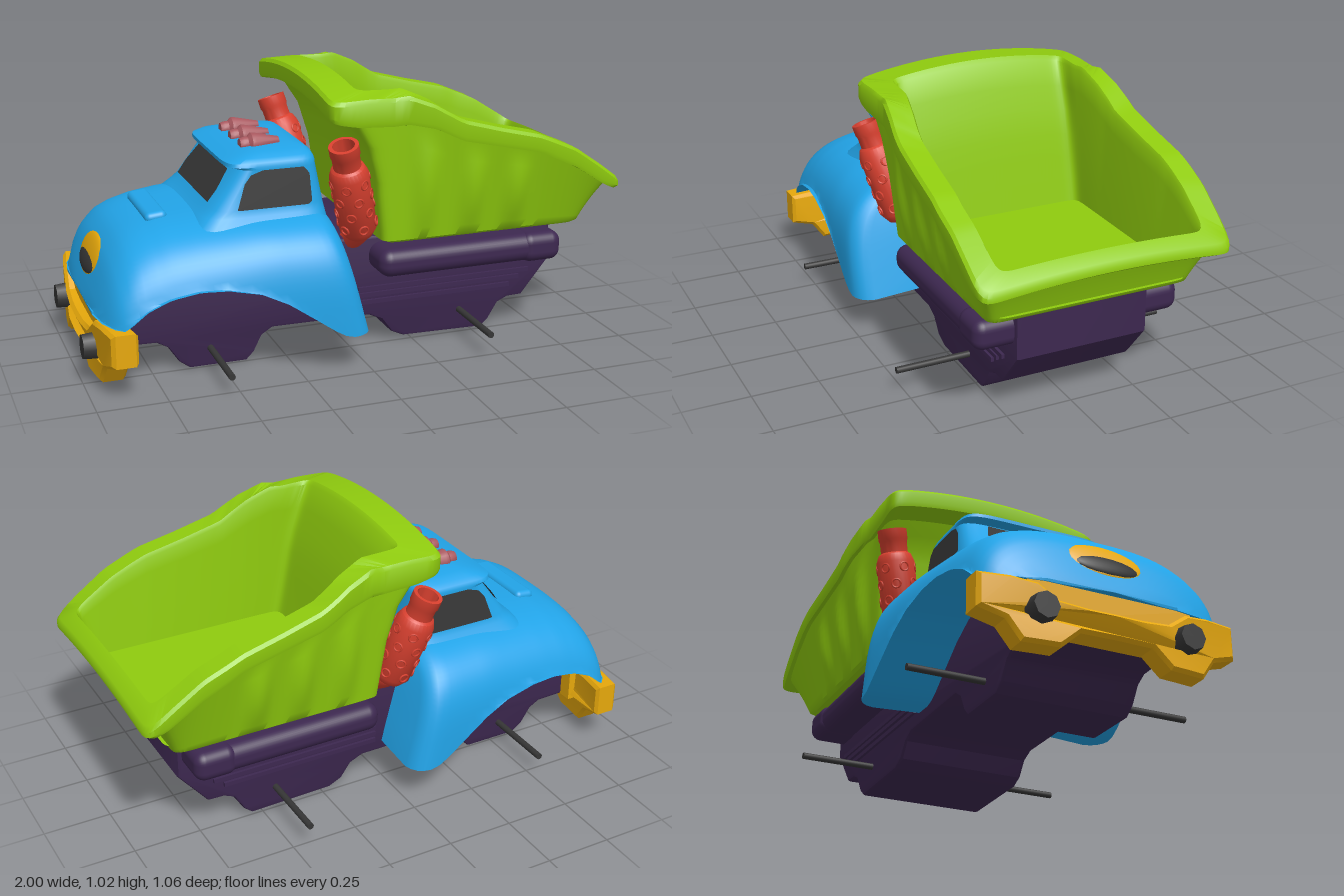
import * as THREE from 'three';
import { toCreasedNormals } from 'three/addons/utils/BufferGeometryUtils.js';
import { RoundedBoxGeometry } from 'three/addons/geometries/RoundedBoxGeometry.js';

const mat = (color, side = THREE.FrontSide) => new THREE.MeshStandardMaterial({ color, side });
const V = (x, y, z) => new THREE.Vector3(x, y, z);

// Piecewise linear lookup in a table of [key, value] pairs
function lin(table, x) {
  if (x <= table[0][0]) return table[0][1];
  for (let i = 1; i < table.length; i++) {
    const [a, p] = table[i - 1], [b, q] = table[i];
    if (x <= b) return p + (q - p) * (x - a) / (b - a);
  }
  return table[table.length - 1][1];
}

// Skin over rings of equal point count
function loft(rings) {
  const n = rings[0].length, index = [];
  for (let i = 0; i < rings.length - 1; i++) for (let j = 0; j < n; j++) {
    const a = i * n + j, c = i * n + (j + 1) % n, b = a + n, d = c + n;
    index.push(a, b, c, b, d, c);
  }
  const g = new THREE.BufferGeometry().setFromPoints(rings.flat());
  g.setIndex(index);
  return toCreasedNormals(g, 0.65);
}
const collapse = (ring, x, y, z) => ring.map(() => V(x, y, z));

// Horizontal rounded rectangle; w(x) and y(x, z) may vary along it
function loop(x0, x1, w, y, p, n) {
  const pts = [], k = (x1 - x0) / 2, c = (x0 + x1) / 2;
  for (let s = 0; s < 4; s++) for (let i = 0; i < n; i++) {
    const t = -1 + 2 * i / n;
    const [u, v] = [[1, t], [-t, 1], [-1, -t], [t, -1]][s];
    const r = Math.pow(Math.abs(u) ** p + Math.abs(v) ** p, -1 / p);
    const x = c + k * u * r, z = w(x) * v * r;
    pts.push(V(x, y(x, z), z));
  }
  return pts;
}

const polygon = pts => new THREE.Shape(pts.map(([x, y]) => new THREE.Vector2(x, y)));

// Flat panel whose outline is mapped onto a surface
function panel(pts, map) {
  const g = new THREE.ShapeGeometry(polygon(pts)), pos = g.attributes.position;
  for (let i = 0; i < pos.count; i++) pos.setXYZ(i, ...map(pos.getX(i), pos.getY(i)));
  g.computeVertexNormals();
  return g;
}

// Tipper bed: outer wall with ribs, rolled rim, inner wall and floor
function bedGeometry() {
  const top = [[-0.14, 1.02], [0, 1.025], [0.15, 1.02], [0.24, 0.97], [0.35, 0.885], [0.5, 0.845], [0.65, 0.81], [0.78, 0.755], [0.9, 0.69], [1, 0.63]];
  const low = [[-0.14, 0.95], [-0.03, 0.93], [0.15, 0.92], [0.25, 0.88], [0.35, 0.81], [0.65, 0.745], [0.8, 0.675], [0.92, 0.615], [1, 0.588]];
  const rim = x => lin([[-0.14, 0.435], [0.1, 0.43], [0.3, 0.46], [0.7, 0.477], [1, 0.465]], x);
  const crown = (x, z) => 0.26 * z * z * lin([[0.1, 1], [0.35, 0], [0.8, 0], [1, 0.5]], x);
  const topY = (x, z) => lin(top, x) - crown(x, z), lowY = (x, z) => lin(low, x) - crown(x, z);
  const ribs = x => Math.max(...[0.23, 0.41, 0.58].map(c => Math.cos(Math.min(1, Math.abs(x - c) / 0.07) * Math.PI / 2) ** 2));
  const ring = (x0, x1, w, y) => loop(x0, x1, w, y, 26, 48);
  const rings = [ring(0.1, 0.86, () => 0.365, () => 0.43)];
  rings.unshift(collapse(rings[0], 0.45, 0.43, 0));
  for (let i = 0; i <= 10; i++) {
    const f = i / 10;
    rings.push(ring(lin([[0, 0.08], [0.5, 0.05], [0.8, 0.01], [1, -0.05]], f), 0.875 + 0.07 * f,
      x => 0.378 + (rim(x) - 0.398) * f + 0.022 * ribs(x) * Math.sin(Math.PI * Math.min(1, f * 1.1)),
      (x, z) => 0.44 + (lowY(x, z) - 0.44) * f));
  }
  rings.push(
    ring(-0.135, 0.985, x => rim(x) - 0.004, lowY),
    ring(-0.14, 1, rim, (x, z) => lowY(x, z) + 0.015),
    ring(-0.14, 1, rim, (x, z) => topY(x, z) - 0.012),
    ring(-0.13, 0.99, x => rim(x) - 0.01, topY),
    ring(-0.015, 0.945, x => rim(x) - 0.086, topY));
  for (let i = 0; i <= 6; i++) {
    const f = i / 6;
    rings.push(ring(lin([[0, 0], [0.4, 0.07], [1, 0.125]], f), 0.94 - 0.045 * f,
      x => rim(x) - 0.093 + (0.448 - rim(x)) * f,
      (x, z) => topY(x, z) - 0.015 + (0.475 - topY(x, z)) * f));
  }
  rings.push(collapse(rings[0], 0.5, 0.46, 0));
  return loft(rings);
}

// Hood and fenders: cross-sections along x, cut away over the wheels
function fenderGeometry() {
  const width = [[-0.955, 0.24], [-0.94, 0.34], [-0.91, 0.41], [-0.88, 0.44], [-0.84, 0.453], [-0.22, 0.497], [-0.17, 0.498], [-0.145, 0.492], [-0.125, 0.478], [-0.112, 0.458], [-0.105, 0.43]];
  const height = [[-0.955, 0.275], [-0.94, 0.32], [-0.92, 0.375], [-0.9, 0.425], [-0.87, 0.47], [-0.83, 0.508], [-0.78, 0.532], [-0.7, 0.552], [-0.6, 0.562], [-0.4, 0.572], [-0.15, 0.572], [-0.105, 0.55]];
  const arch = [[-0.87, 0.25], [-0.85, 0.275], [-0.8, 0.315], [-0.72, 0.35], [-0.62, 0.367], [-0.52, 0.363], [-0.42, 0.338], [-0.34, 0.29], [-0.27, 0.225], [-0.21, 0.165], [-0.18, 0.142]];
  const stations = [-0.955, -0.94, -0.925, -0.91, -0.895];
  for (let i = 0; i <= 28; i++) stations.push(-0.88 + i * 0.0255);
  stations.push(-0.145, -0.125, -0.112, -0.105);
  const rings = stations.map(x => {
    const w = lin(width, x), h = lin(height, x), b = lin(arch, x), e = lin([[-0.9, 0.66], [-0.35, 0.5]], x);
    const shear = lin([[-0.5, 0], [-0.105, 0.26]], x), pts = [V(x, b + 0.01, 0.24)];
    for (let j = 0; j <= 48; j++) {
      const t = Math.PI * j / 48, c = Math.cos(t);
      const y = Math.max(b, 0.14 + (h - 0.14) * Math.max(0, Math.sin(t)) ** e);
      pts.push(V(x, y, w * Math.sign(c) * Math.abs(c) ** e));
    }
    pts.push(V(x, b + 0.01, -0.24));
    return pts.map(p => p.setX(x + (h - p.y) * shear));
  });
  rings.unshift(collapse(rings[0], -0.958, 0.262, 0));
  rings.push(collapse(rings[0], -0.05, 0.35, 0));
  return loft(rings);
}

// Yellow bumper: outline in z and y, bowed forward in the middle
function bumperGeometry() {
  const half = [[0, 0.09], [0.13, 0.09], [0.2, 0.03], [0.26, 0.03], [0.33, 0.03], [0.38, 0.1], [0.47, 0.13],
    [0.47, 0.25], [0.36, 0.25], [0.27, 0.24], [0.2, 0.19], [0.1, 0.18], [0, 0.18]];
  const pts = [...half, ...half.slice(1, -1).reverse().map(([z, y]) => [-z, y])];
  const g = new THREE.ExtrudeGeometry(polygon(pts), { depth: 0.07, bevelSize: 0.012, bevelOffset: -0.012, bevelThickness: 0.012, bevelSegments: 1 });
  const pos = g.attributes.position;
  for (let i = 0; i < pos.count; i++) {
    const z = pos.getX(i), d = pos.getZ(i);
    pos.setXYZ(i, -0.895 - d + 0.2 * z * z, pos.getY(i), z);
  }
  return toCreasedNormals(g, 0.5);
}

export function createModel() {
  const model = new THREE.Group();
  const blue = mat(0x22a4e8, THREE.DoubleSide), green = mat(0x8fcb0e), purple = mat(0x3d2850);
  const red = mat(0xd8402f, THREE.DoubleSide), yellow = mat(0xe6a80c), dark = mat(0x363636, THREE.DoubleSide), pink = mat(0xa8585f);
  const add = (name, geo, material, x = 0, y = 0, z = 0) => {
    const m = new THREE.Mesh(geo, material);
    m.name = name;
    m.position.set(x, y, z);
    model.add(m);
    return m;
  };

  add('tipperBed', bedGeometry(), green);
  add('hoodAndFenders', fenderGeometry(), blue);
  add('bumper', bumperGeometry(), yellow);
  add('bumperMount', new THREE.BoxGeometry(0.1, 0.15, 0.6), yellow, -0.885, 0.19);

  // Cabin with a small visor above the windshield
  const cab = [[0.46, -0.66, -0.085, 0.37], [0.53, -0.6, -0.09, 0.335], [0.565, -0.56, -0.095, 0.31], [0.59, -0.53, -0.1, 0.302],
    [0.725, -0.43, -0.125, 0.283], [0.735, -0.465, -0.125, 0.284], [0.748, -0.465, -0.128, 0.278], [0.762, -0.43, -0.135, 0.262], [0.775, -0.38, -0.15, 0.22], [0.783, -0.32, -0.19, 0.13]];
  const cabRings = cab.map(([y, x0, x1, w]) => loop(x0, x1, () => w, () => y, 7, 16));
  cabRings.push(collapse(cabRings[0], -0.25, 0.785, 0));
  add('cabin', loft(cabRings), blue);
  const cabX = y => lin(cab.map(r => [r[0], r[1]]), y), cabW = y => lin(cab.map(r => [r[0], r[3]]), y);
  add('windshield', panel([[-0.21, 0.605], [0.21, 0.605], [0.215, 0.65], [0.19, 0.715], [-0.19, 0.715], [-0.215, 0.65]],
    (z, y) => [cabX(y) - 0.005, y, z]), dark);
  const sideWindow = [[-0.44, 0.592], [-0.42, 0.59], [-0.18, 0.59], [-0.165, 0.6], [-0.17, 0.7], [-0.19, 0.724], [-0.34, 0.724], [-0.385, 0.71], [-0.41, 0.68]];

  // Hood scoop and grille
  const scoop = add('hoodScoop', new RoundedBoxGeometry(0.08, 0.04, 0.32, 4, 0.02), blue, -0.695, 0.549);
  scoop.rotation.z = 0.1;
  const oval = (name, h, w, material, x, y) => {
    const m = add(name, new THREE.SphereGeometry(1, 24, 12), material, x, y);
    m.scale.set(0.018, h, w);
    m.rotation.z = -0.4;
  };
  oval('grilleSurround', 0.075, 0.145, yellow, -0.904, 0.393);
  oval('grille', 0.045, 0.12, dark, -0.916, 0.373);

  // Chassis
  const chassis = [[-0.84, 0.115], [-0.73, 0.112], [-0.69, 0.09], [-0.65, 0.03], [-0.61, 0], [-0.4, 0], [-0.37, 0.03], [-0.34, 0.09], [-0.3, 0.115],
    [0.08, 0.112], [0.13, 0.09], [0.17, 0.035], [0.22, 0.012], [0.54, 0.005], [0.57, 0.03], [0.61, 0.095], [0.65, 0.113], [0.71, 0.115], [0.82, 0.25], [0.82, 0.425], [-0.84, 0.425]];
  const frame = new THREE.ExtrudeGeometry(polygon(chassis), { depth: 0.476, bevelSize: 0.012, bevelOffset: -0.012, bevelThickness: 0.012, bevelSegments: 2 });
  add('chassis', toCreasedNormals(frame, 0.5), purple, 0, 0, -0.238);

  // Axles
  for (const [x, y, name] of [[-0.535, 0.07, 'frontAxle'], [0.445, 0.09, 'rearAxle']]) {
    add(name, new THREE.CylinderGeometry(0.012, 0.012, 1.06, 16), dark, x, y).rotation.x = Math.PI / 2;
  }

  // Roof lamps
  const lamp = [[0, 0], [0.022, 0], [0.027, 0.015], [0.027, 0.03], [0.04, 0.042], [0.04, 0.055], [0.02, 0.145], [0, 0.148]].map(p => new THREE.Vector2(...p));
  for (const z of [-0.125, 0, 0.125]) {
    const m = add('roofLamp', toCreasedNormals(new THREE.LatheGeometry(lamp, 16), 0.5), pink, -0.378, 0.78, z);
    m.rotation.z = -Math.PI / 2;
  }

  const stack = [[0.03, -0.01], [0.05, 0], [0.068, 0.03], [0.071, 0.26], [0.06, 0.288], [0.05, 0.295], [0.05, 0.335], [0.054, 0.345], [0.054, 0.382], [0.04, 0.382], [0.036, 0.28], [0, 0.28]].map(p => new THREE.Vector2(...p));
  for (const s of [1, -1]) {
    const side = s > 0 ? 'left' : 'right';
    add(side + 'Window', panel(sideWindow, (x, y) => [x, y, s * (cabW(y) + 0.004)]), dark);
    add(side + 'Headlamp', new THREE.CylinderGeometry(0.046, 0.052, 0.06, 8), dark, -0.97, 0.145, s * 0.265).rotation.z = Math.PI / 2;

    // Side tank with end cap, and trim strips below
    add(side + 'Tank', new RoundedBoxGeometry(0.72, 0.105, 0.2, 4, 0.045), purple, 0.435, 0.347, s * 0.285);
    add(side + 'TankCap', new RoundedBoxGeometry(0.16, 0.112, 0.2, 4, 0.04), purple, 0.722, 0.347, s * 0.29);
    for (const [x, y, len] of [[0.38, 0.222, 0.7], [0.36, 0.198, 0.66], [0.34, 0.17, 0.62]]) {
      add(side + 'TrimStrip', new THREE.BoxGeometry(len, 0.016, 0.03), purple, x, y, s * 0.246);
    }

    // Exhaust stack leaning outward, with ringed holes and a pipe running under the bed
    const pipe = add(side + 'Exhaust', toCreasedNormals(new THREE.LatheGeometry(stack, 28), 0.6), red, 0.01, 0.465, s * 0.318);
    pipe.rotation.set(s * 0.26, 0, 0.26);
    for (let row = 0; row < 4; row++) for (let i = 0; i < 6; i++) {
      const a = (i + (row % 2) / 2) * Math.PI / 3;
      const hole = new THREE.Mesh(new THREE.TorusGeometry(0.016, 0.004, 6, 14), red);
      hole.name = 'exhaustHole';
      hole.position.set(0.069 * Math.sin(a), 0.055 + row * 0.06, 0.069 * Math.cos(a));
      hole.rotation.y = a;
      pipe.add(hole);
    }
    const path = new THREE.CatmullRomCurve3([V(0, 0.5, s * 0.325), V(0.012, 0.468, s * 0.305), V(0.015, 0.435, s * 0.26), V(0.015, 0.405, s * 0.2)]);
    add(side + 'ExhaustElbow', new THREE.TubeGeometry(path, 20, 0.04, 14), red);
  }
  return model;
}
